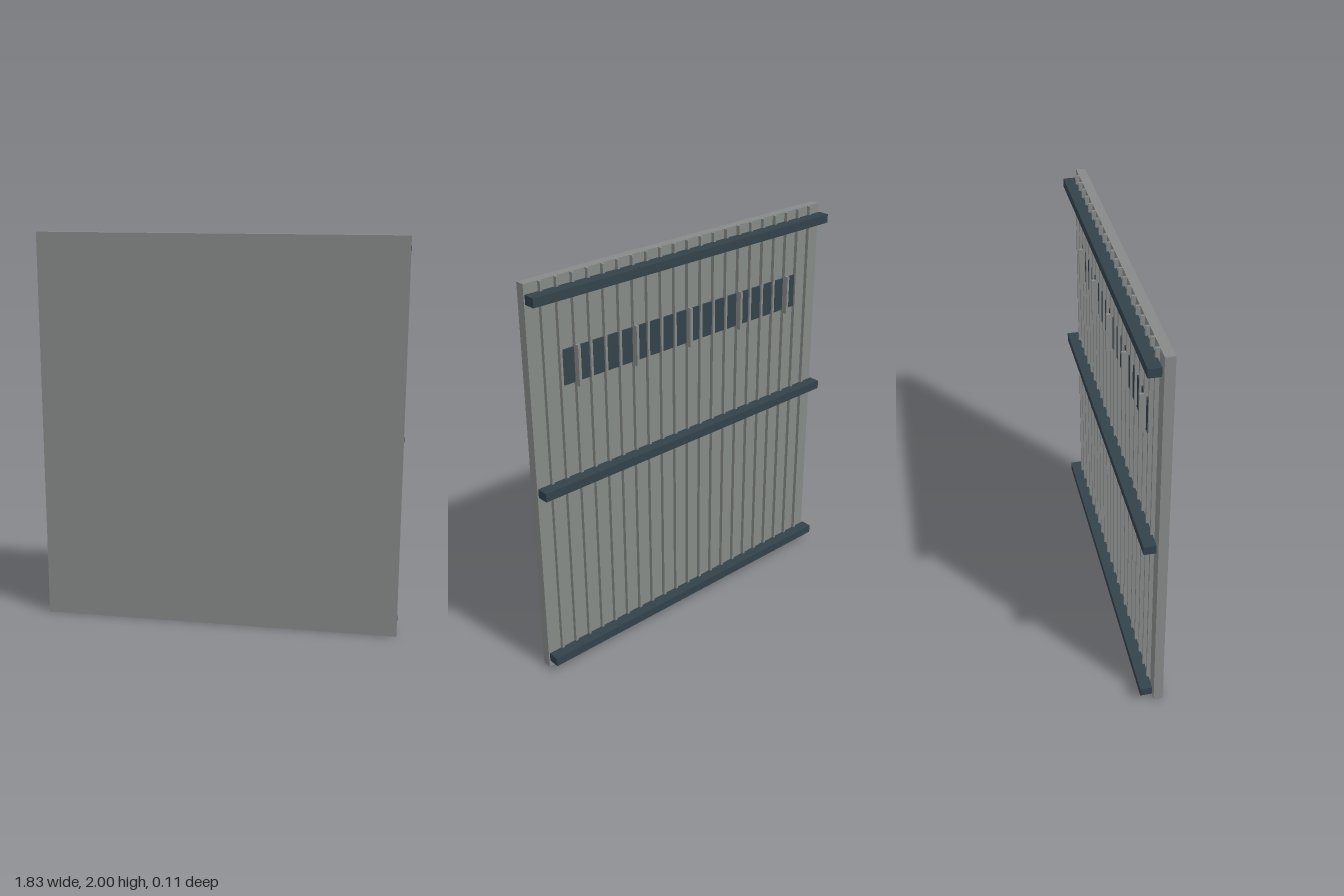
import * as THREE from 'three';

export function createModel() {
  const model = new THREE.Group();
  model.name = 'ribbedPanel';

  const panelGrey = new THREE.MeshStandardMaterial({ color: 0x868a87 });
  panelGrey.name = 'panel grey';
  const darkSlate = new THREE.MeshStandardMaterial({ color: 0x33424a });
  darkSlate.name = 'dark slate';

  // Box given by its centre in x and y, its size, and its z range
  function box(name, material, x, y, w, h, zBack, zFront) {
    const mesh = new THREE.Mesh(new THREE.BoxGeometry(w, h, zFront - zBack), material);
    mesh.position.set(x, y, (zBack + zFront) / 2);
    mesh.name = name;
    model.add(mesh);
  }

  const width = 1.83;
  const ribStep = 0.0836;

  // Flat front sheet
  box('sheet', panelGrey, 0, 1, width, 2, 0.011, 0.057);

  // Vertical ribs on the back
  for (let i = -10; i <= 10; i++) {
    box('rib', panelGrey, i * ribStep, 1, 0.012, 2, -0.008, 0.011);
  }

  // Horizontal rails across the ribs
  for (const y of [0.067, 1, 1.934]) {
    box('rail', darkSlate, 0, y, width, 0.044, -0.057, 0.002);
  }

  // Dark vent panes between the ribs
  for (let i = -9; i < 9; i++) {
    box('ventPane', darkSlate, (i + 0.5) * ribStep, 1.57, ribStep - 0.012, 0.17, 0.002, 0.011);
  }

  // Posts standing proud of the vent
  for (let i = -2; i <= 2; i++) {
    box('ventPost', panelGrey, i * 4 * ribStep, 1.57, 0.014, 0.2, -0.029, 0.011);
  }

  return model;
}
